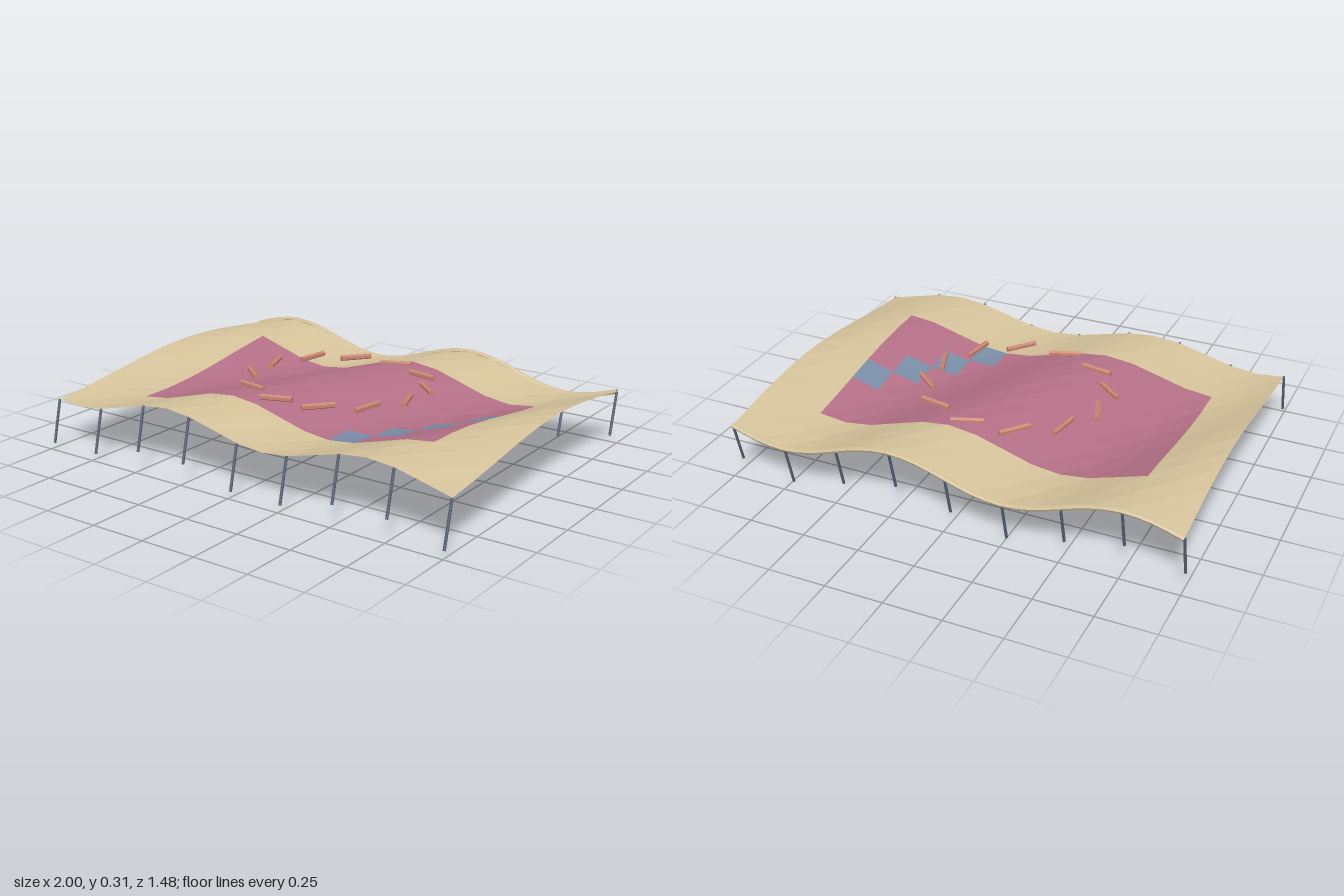
import * as THREE from 'three';

const COLS = 16, ROWS = 10, HALF = 0.994, BACK = -0.722, FRONT = 0.682;

// Height of the rippling cloth: a wave that drifts sideways from front to back
function heightAt(x, z) {
  const t = (FRONT - z) / (FRONT - BACK);
  const crest = 0.625 + 0.625 * t;
  return 0.245 + (0.044 + 0.011 * Math.min(1, 2 * t)) * Math.cos(2 * Math.PI * (x - crest));
}

function mat(name, color, doubleSided = false) {
  const m = new THREE.MeshStandardMaterial({ color, flatShading: true });
  m.name = name;
  if (doubleSided) m.side = THREE.DoubleSide;
  return m;
}

export function createModel() {
  const model = new THREE.Group();
  model.name = 'wavyCarpet';
  const sand = mat('sand', 0xd3c199, true);
  const rose = mat('rose', 0xb36f86, true);
  const blue = mat('dustyBlue', 0x788ca6, true);
  const coral = mat('coral', 0xc98473);
  const slate = mat('slate', 0x566275);

  function add(parent, name, geometry, material) {
    const mesh = new THREE.Mesh(geometry, material);
    mesh.name = name;
    parent.add(mesh);
    return mesh;
  }

  // Cloth cells, sorted into border, centre field and diagonal patches
  const point = (i, j) => {
    const x = -HALF + (2 * HALF * i) / COLS;
    const z = BACK + ((FRONT - BACK) * j) / ROWS;
    return [x, heightAt(x, z), z];
  };
  const cells = { border: [], field: [], patches: [] };
  for (let i = 0; i < COLS; i++) {
    for (let j = 0; j < ROWS; j++) {
      const inside = i >= 2 && i < COLS - 2 && j >= 2 && j < ROWS - 2;
      const kind = !inside ? 'border' : i + j === 17 ? 'patches' : 'field';
      const a = point(i, j), b = point(i, j + 1), c = point(i + 1, j + 1), d = point(i + 1, j);
      cells[kind].push(...a, ...b, ...d, ...b, ...c, ...d);
    }
  }
  const colours = { border: sand, field: rose, patches: blue };
  for (const kind in cells) {
    const g = new THREE.BufferGeometry();
    g.setAttribute('position', new THREE.Float32BufferAttribute(cells[kind], 3));
    g.computeVertexNormals();
    add(model, 'cloth_' + kind, g, colours[kind]);
  }

  // Rolled hem along the back edge
  const hemPoints = [];
  for (let i = 0; i <= COLS; i++) {
    const [x, y, z] = point(i, 0);
    hemPoints.push(new THREE.Vector3(x, y, z - 0.01));
  }
  add(model, 'backHem', new THREE.TubeGeometry(new THREE.CatmullRomCurve3(hemPoints), 32, 0.011, 6), sand);

  // Slanted hanging rods along the front and back edges
  const rods = new THREE.Group();
  rods.name = 'hangingRods';
  model.add(rods);
  const drop = new THREE.Vector3(0, -0.19, 0.046);
  const rodGeometry = new THREE.CylinderGeometry(0.006, 0.006, drop.length(), 6);
  for (const z of [FRONT + 0.003, BACK - 0.006]) {
    for (let k = 0; k <= 8; k++) {
      const x = -HALF + (2 * HALF * k) / 8;
      const rod = add(rods, 'hangingRod', rodGeometry, slate);
      rod.position.set(x, heightAt(x, z), z).addScaledVector(drop, 0.5);
      rod.quaternion.setFromUnitVectors(new THREE.Vector3(0, -1, 0), drop.clone().normalize());
    }
  }

  // Ring of twelve level bars above the cloth
  const ring = new THREE.Group();
  ring.name = 'barRing';
  model.add(ring);
  const barGeometry = new THREE.CylinderGeometry(0.013, 0.013, 0.142, 6);
  barGeometry.rotateY(Math.PI / 6).rotateZ(Math.PI / 2);
  for (let k = 0; k < 12; k++) {
    const angle = THREE.MathUtils.degToRad(-80 + 30 * k);
    const bar = add(ring, 'bar', barGeometry, coral);
    bar.position.set(0.4 * Math.cos(angle), 0.298, -0.02 + 0.36 * Math.sin(angle));
    bar.rotation.y = -THREE.MathUtils.degToRad(-20 + 30 * k);
  }
  return model;
}
